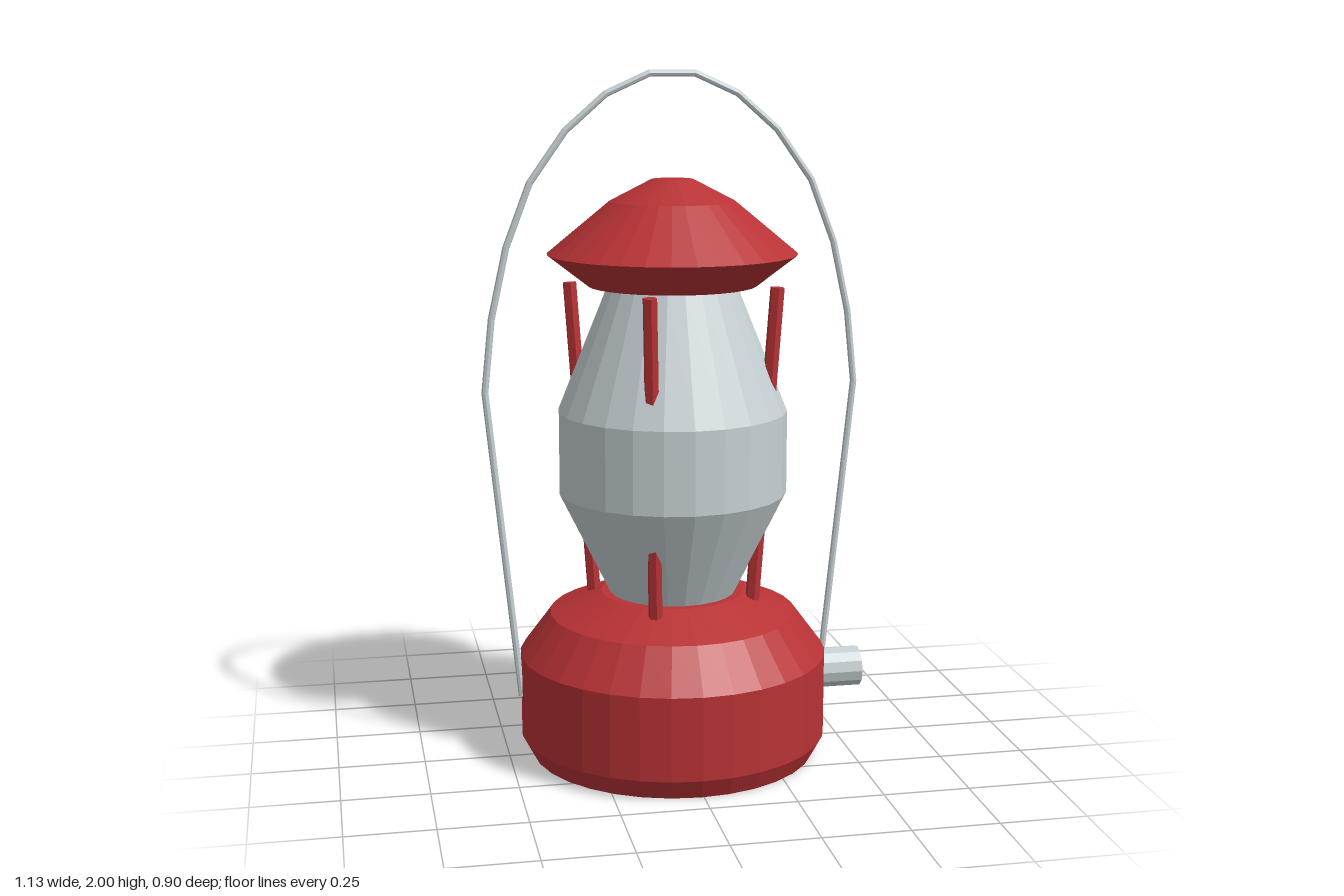
import * as THREE from 'three';

const flat = (name, color) => {
  const m = new THREE.MeshStandardMaterial({ color, flatShading: true });
  m.name = name;
  return m;
};

// Follows a list of points in straight pieces, one piece per step of t
class Polyline extends THREE.Curve {
  constructor(points) {
    super();
    this.points = points;
  }
  getPoint(t, target = new THREE.Vector3()) {
    const n = this.points.length - 1;
    const f = Math.min(Math.max(t, 0), 1) * n;
    const i = Math.min(Math.floor(f), n - 1);
    return target.lerpVectors(this.points[i], this.points[i + 1], f - i);
  }
  getPointAt(t, target) { return this.getPoint(t, target); }
  getTangentAt(t, target) { return this.getTangent(t, target); }
}

export function createModel() {
  const lantern = new THREE.Group();
  lantern.name = 'lantern';
  const red = flat('red paint', 0xb83235);
  const pale = flat('pale grey', 0xc6d0d3);

  const add = (name, geometry, material) => {
    const mesh = new THREE.Mesh(geometry, material);
    mesh.name = name;
    lantern.add(mesh);
    return mesh;
  };
  // Turned parts: profile of [radius, height], bottom to top
  const turn = (name, profile, sides, material) =>
    add(name, new THREE.LatheGeometry(profile.map(([r, y]) => new THREE.Vector2(r, y)), sides), material);

  turn('base', [[0, 0], [0.42, 0], [0.452, 0.06], [0.452, 0.304], [0.362, 0.425], [0.21, 0.487], [0, 0.487]], 32, red);
  turn('globe', [[0, 0.48], [0.182, 0.48], [0.333, 0.788], [0.333, 1.028], [0.185, 1.395], [0, 1.395]], 24, pale);
  turn('roof', [[0, 1.392], [0.243, 1.392], [0.36, 1.483], [0.18, 1.632], [0.06, 1.694], [0, 1.694]], 32, red);

  // Four leaning guard posts that pass through the globe
  const up = new THREE.Vector3(0, 1, 0);
  for (let i = 0; i < 4; i++) {
    const a = THREE.MathUtils.degToRad(22.5 + 90 * i);
    const at = (r, y) => new THREE.Vector3(r * Math.cos(a), y, r * Math.sin(a));
    const low = at(0.238, 0.45);
    const high = at(0.305, 1.392);
    const dir = high.clone().sub(low);
    const post = add('guardPost', new THREE.CylinderGeometry(0.021, 0.021, dir.length(), 6), red);
    post.position.copy(low).add(high).multiplyScalar(0.5);
    post.quaternion.setFromUnitVectors(up, dir.normalize());
  }

  // Carrying handle, one half mirrored to the other
  const half = [[0.452, 0.185], [0.544, 1.095], [0.522, 1.305], [0.477, 1.508],
    [0.408, 1.688], [0.306, 1.832], [0.19, 1.934], [0.066, 1.99]];
  const path = [
    ...half.map(([x, y]) => new THREE.Vector3(-x, y, 0)),
    ...half.slice().reverse().map(([x, y]) => new THREE.Vector3(x, y, 0)),
  ];
  add('handle', new THREE.TubeGeometry(new Polyline(path), path.length - 1, 0.01, 8), pale);

  // Wick knob on the left side
  const knob = add('knob', new THREE.CylinderGeometry(0.06, 0.06, 0.173, 12), pale);
  knob.rotation.z = -Math.PI / 2;
  knob.position.set(0.4865, 0.213, 0);

  // The knob sticks out, so the body sits slightly off centre
  lantern.children.forEach((part) => { part.position.x -= 0.009; });
  return lantern;
}
